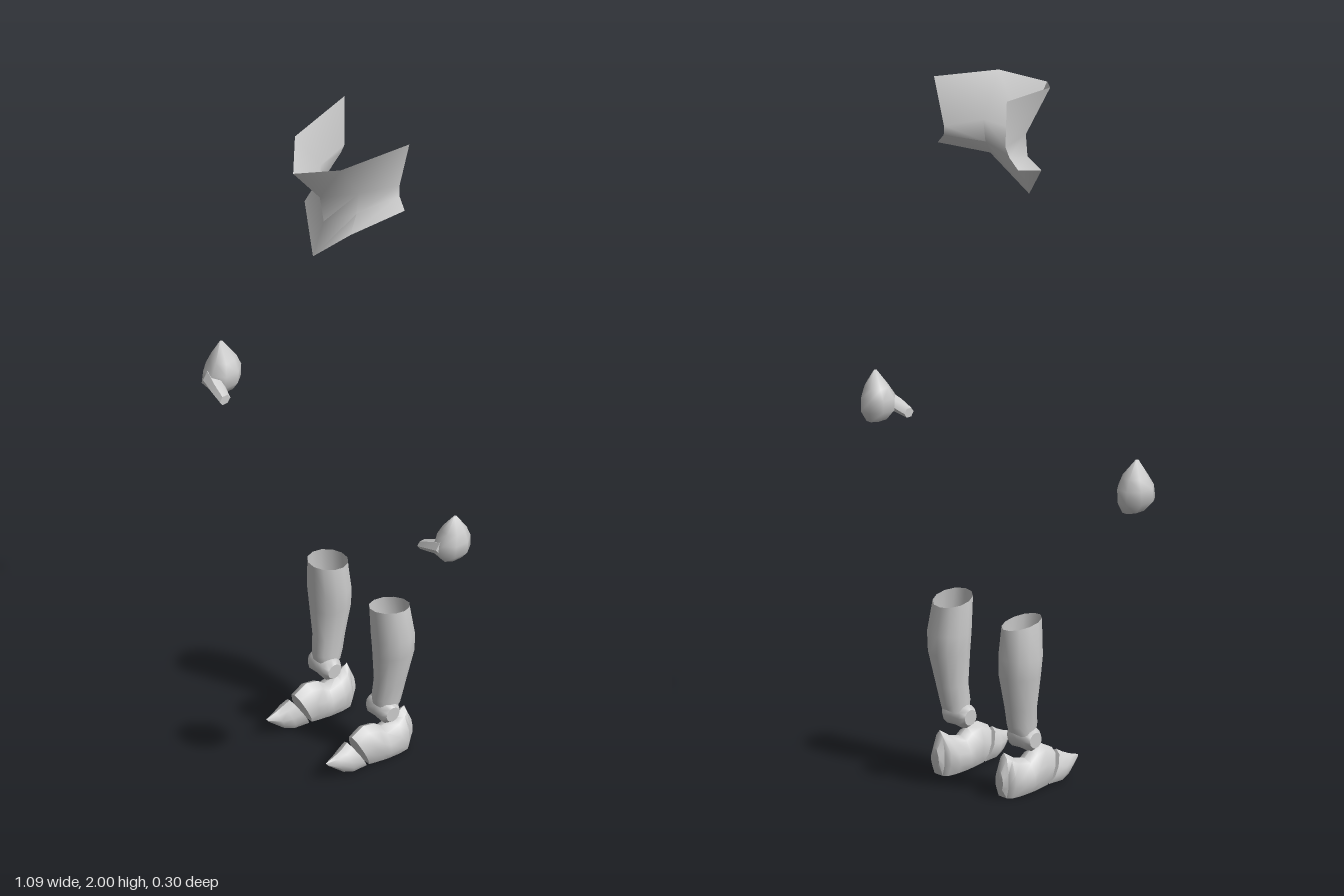
import * as THREE from 'three';
import { toCreasedNormals } from 'three/addons/utils/BufferGeometryUtils.js';

const material = new THREE.MeshStandardMaterial({ color: 0xcccccc, side: THREE.DoubleSide });

// Skin between rows of [x, y, z] points; rows may be closed rings with end caps
function loft(name, rows, { closed = true, caps = true, crease = 0.9 } = {}) {
  const n = rows[0].length, index = [], points = rows.flat();
  for (let r = 0; r < rows.length - 1; r++) {
    for (let i = 0; i < (closed ? n : n - 1); i++) {
      const j = (i + 1) % n;
      const a = r * n + i, b = r * n + j, c = a + n, d = b + n;
      index.push(a, b, c, b, d, c);
    }
  }
  if (caps) {
    [0, rows.length - 1].forEach((r, end) => {
      const centre = [0, 1, 2].map(k => rows[r].reduce((s, p) => s + p[k], 0) / n);
      points.push(centre);
      for (let i = 0; i < n; i++) {
        const a = r * n + i, b = r * n + (i + 1) % n;
        index.push(points.length - 1, ...(end ? [a, b] : [b, a]));
      }
    });
  }
  const g = new THREE.BufferGeometry();
  g.setAttribute('position', new THREE.Float32BufferAttribute(points.flat(), 3));
  g.setIndex(index);
  const mesh = new THREE.Mesh(toCreasedNormals(g, crease), material);
  mesh.name = name;
  return mesh;
}

// Horizontal oval ring filling the given x and z extents; rise(c, s) shifts height
function oval(y, x0, x1, z0, z1, sides, rise = () => 0) {
  return Array.from({ length: sides }, (_, i) => {
    const t = -(i + 0.5) / sides * Math.PI * 2, c = Math.cos(t), s = Math.sin(t);
    const k = 1 / Math.cos(Math.PI / sides);
    return [(x0 + x1) / 2 + c * k * (x1 - x0) / 2, y + rise(c, s), (z0 + z1) / 2 + s * k * (z1 - z0) / 2];
  });
}

// Peaked upright section across a foot: the top and bottom may lie at different z
function footRing(zTop, zBottom, top, bottom, w, x = 0.125) {
  const half = [[0, 1], [0.55, 0.88], [0.95, 0.55], [1, 0.25], [0.72, 0]];
  const ring = [...half, ...half.slice(1).reverse().map(([u, v]) => [-u, v])];
  return ring.map(([u, v]) => [x + u * w, bottom + v * (top - bottom), zBottom + v * (zTop - zBottom)]);
}

// V-shaped collar: half rows from the centre ridge to the rear edge, mirrored
function collar() {
  const rows = [
    [[0, 1.95, 0.155], [0.1, 1.98, 0.07], [0.142, 2, -0.133]],
    [[0, 1.83, 0.063], [0.083, 1.86, -0.005], [0.12, 1.86, -0.117]],
    [[0, 1.745, 0.05], [0.082, 1.795, 0.002], [0.128, 1.83, -0.11]],
    [[0, 1.645, 0.087], [0.1, 1.75, 0.037], [0.157, 1.8, -0.105]],
  ].map(h => [...h.slice(1).reverse().map(([x, y, z]) => [-x, y, z]), ...h]);
  return loft('collar', rows, { closed: false, caps: false, crease: 1.1 });
}

// Hand plate with a pointed cuff and a short thumb guard
function hand() {
  const g = new THREE.Group();
  g.name = 'hand';
  g.add(loft('handPlate', [
    oval(1.03, 0.507, 0.513, -0.004, 0.004, 8),
    oval(0.985, 0.473, 0.535, -0.034, 0.032, 8),
    oval(0.955, 0.46, 0.544, -0.045, 0.05, 8),
    oval(0.92, 0.462, 0.543, -0.045, 0.055, 8),
    oval(0.892, 0.48, 0.52, -0.034, 0.034, 8),
  ], { crease: 1.4 }));
  const thumbRing = (x, y, z, r) => Array.from({ length: 6 }, (_, i) => {
    const t = i / 6 * Math.PI * 2;
    return [x, y + Math.sin(t) * r * 0.85, z + Math.cos(t) * r];
  });
  g.add(loft('thumbGuard', [
    thumbRing(0.505, 0.94, 0.034, 0.028), thumbRing(0.465, 0.928, 0.045, 0.022),
    thumbRing(0.43, 0.915, 0.05, 0.017),
  ]));
  return g;
}

// Open shin tube, ankle barrel, foot and toe cap
function leg() {
  const g = new THREE.Group();
  g.name = 'leg';
  g.add(loft('shin', [
    oval(0.493, 0.087, 0.182, -0.128, -0.012, 12, (c, s) => 0.01 * s + 0.004 * c),
    oval(0.4, 0.083, 0.195, -0.139, -0.018, 12),
    oval(0.345, 0.086, 0.19, -0.139, -0.022, 12),
    oval(0.25, 0.096, 0.172, -0.12, -0.026, 12),
    oval(0.2, 0.096, 0.165, -0.11, -0.02, 12),
    oval(0.185, 0.098, 0.162, -0.102, -0.024, 12, c => -0.016 * Math.abs(c)),
  ], { caps: false, crease: 1.2 }));

  const profile = [[0, -0.045], [0.022, -0.045], [0.033, -0.03], [0.031, 0], [0.033, 0.03], [0.022, 0.045], [0, 0.045]];
  const ankle = new THREE.Mesh(
    toCreasedNormals(new THREE.LatheGeometry(profile.map(p => new THREE.Vector2(...p)), 12), 0.9), material);
  ankle.name = 'ankle';
  ankle.rotation.z = Math.PI / 2;
  ankle.position.set(0.127, 0.158, -0.053);
  g.add(ankle);

  g.add(loft('foot', [
    footRing(-0.128, -0.132, 0.13, 0.004, 0.022),
    footRing(-0.115, -0.12, 0.122, 0.003, 0.036),
    footRing(-0.092, -0.09, 0.107, 0.004, 0.043),
    footRing(-0.05, -0.05, 0.096, 0.006, 0.044),
    footRing(-0.028, -0.03, 0.114, 0.008, 0.043),
    footRing(0.012, -0.01, 0.123, 0.009, 0.04),
    footRing(0.052, 0.012, 0.102, 0.01, 0.035),
  ]));
  // Rounded heel bulge behind the foot
  g.add(loft('heel', [
    footRing(-0.147, -0.145, 0.085, 0.03, 0.015),
    footRing(-0.128, -0.132, 0.13, 0.004, 0.022),
  ]));
  g.add(loft('toeCap', [
    footRing(0.068, 0.02, 0.093, 0.01, 0.034),
    footRing(0.088, 0.065, 0.081, 0.011, 0.033, 0.128),
    footRing(0.113, 0.095, 0.07, 0.018, 0.021, 0.129),
    footRing(0.145, 0.138, 0.06, 0.05, 0.003, 0.13),
  ]));
  return g;
}

export function createModel() {
  const model = new THREE.Group();
  model.add(collar());
  for (const side of [1, -1]) {
    const l = leg(), h = hand();
    l.name = side > 0 ? 'leftLeg' : 'rightLeg';
    h.name = side > 0 ? 'leftHand' : 'rightHand';
    l.scale.x = side;
    l.position.y = -0.003;
    // The right hand is slightly larger
    const k = side > 0 ? 1 : 1.07;
    h.scale.set(side * k, k, k);
    h.position.set(side * 0.492 * (1 - k), 0.955 * (1 - k), 0);
    model.add(l, h);
  }
  return model;
}
